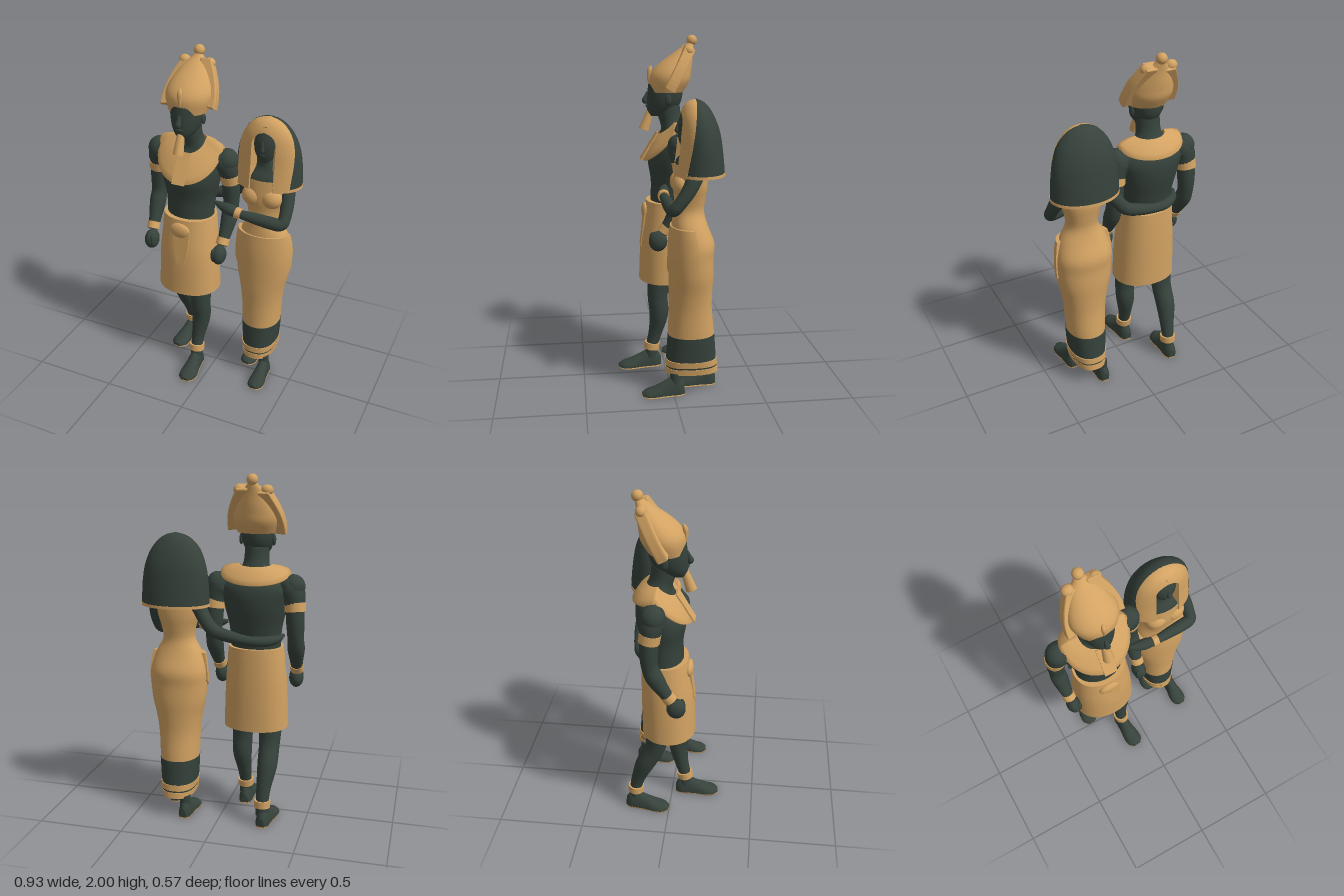
import * as THREE from 'three';
import { toCreasedNormals } from 'three/addons/utils/BufferGeometryUtils.js';

const V = (x, y, z) => new THREE.Vector3(x, y, z);
const gold = new THREE.MeshStandardMaterial({ color: 0xd2a262, side: THREE.DoubleSide });
gold.name = 'gold';
const dark = new THREE.MeshStandardMaterial({ color: 0x36423b, side: THREE.DoubleSide });
dark.name = 'darkStone';

// Smooth interpolation of rows [t, a, b, ...] at t
function sample(rows, t) {
  let i = 0;
  while (i < rows.length - 2 && t > rows[i + 1][0]) i++;
  const slope = (k, c) => {
    const a = rows[Math.max(k - 1, 0)], b = rows[Math.min(k + 1, rows.length - 1)];
    return (b[c] - a[c]) / (b[0] - a[0]);
  };
  const p = rows[i], q = rows[i + 1], h = q[0] - p[0], s = Math.min(1, Math.max(0, (t - p[0]) / h));
  return p.map((v, c) => c === 0 ? t :
    v * (2 * s ** 3 - 3 * s * s + 1) + q[c] * (3 * s * s - 2 * s ** 3) +
    h * slope(i, c) * (s ** 3 - 2 * s * s + s) + h * slope(i + 1, c) * (s ** 3 - s * s));
}

// Skin over closed rings of points, optionally capped, wound outward
function skin(rings, caps = true) {
  const pos = [], idx = [], n = rings[0].length;
  rings.forEach(r => r.forEach(p => pos.push(p.x, p.y, p.z)));
  for (let i = 0; i < rings.length - 1; i++) for (let j = 0; j < n; j++) {
    const a = i * n + j, b = i * n + (j + 1) % n;
    idx.push(a, b, a + n, b, b + n, a + n);
  }
  if (caps) [rings[0], rings[rings.length - 1]].forEach((r, e) => {
    const start = pos.length / 3, c = V(0, 0, 0);
    r.forEach(p => { pos.push(p.x, p.y, p.z); c.addScaledVector(p, 1 / n); });
    pos.push(c.x, c.y, c.z);
    for (let j = 0; j < n; j++) {
      const a = start + j, b = start + (j + 1) % n;
      if (e) idx.push(a, b, start + n); else idx.push(b, a, start + n);
    }
  });
  const at = k => V(pos[3 * k], pos[3 * k + 1], pos[3 * k + 2]);
  let vol = 0;
  for (let k = 0; k < idx.length; k += 3) vol += at(idx[k]).dot(at(idx[k + 1]).cross(at(idx[k + 2])));
  if (vol < 0) idx.reverse();
  const g = new THREE.BufferGeometry();
  g.setAttribute('position', new THREE.Float32BufferAttribute(pos, 3));
  g.setIndex(idx);
  g.computeVertexNormals();
  return g;
}

const range = (n, f) => Array.from({ length: n }, (_, i) => f(i));

// Horizontal rings; rows are [y, cz, rx, rz]
function loft(rows, cx, y0 = rows[0][0], y1 = rows[rows.length - 1][0], grow = 1, power = 2) {
  const steps = Math.max(3, Math.ceil((y1 - y0) / 0.02)), e = 2 / power;
  return skin(range(steps + 1, i => {
    const [y, cz, rx, rz] = sample(rows, y0 + (y1 - y0) * i / steps);
    return range(40, j => {
      const a = j / 40 * Math.PI * 2, s = Math.sin(a), c = Math.cos(a);
      return V(cx + grow * rx * Math.sign(s) * Math.abs(s) ** e, y, cz + grow * rz * Math.sign(c) * Math.abs(c) ** e);
    });
  }));
}

// Round limb along points [x, y, z, r]
function limb(pts) {
  const rows = pts.map((p, i) => [i, ...p]), n = (pts.length - 1) * 5;
  const at = t => { const s = sample(rows, t); return V(s[1], s[2], s[3]); };
  return skin(range(n + 1, i => {
    const t = i / 5, c = at(t), r = Math.max(0.004, sample(rows, t)[4]);
    const d = at(Math.min(t + 0.1, pts.length - 1)).sub(at(Math.max(t - 0.1, 0))).normalize();
    const u = V(0, 0, 1).addScaledVector(d, -d.z).normalize(), w = d.clone().cross(u);
    return range(18, j => {
      const a = j / 18 * Math.PI * 2;
      return c.clone().addScaledVector(u, r * Math.cos(a)).addScaledVector(w, r * Math.sin(a));
    });
  }));
}

export function createModel() {
  const model = new THREE.Group();
  const man = new THREE.Group(), woman = new THREE.Group();
  man.name = 'man'; woman.name = 'woman';
  model.add(man, woman);
  const put = (parent, name, geo, mat) => {
    const m = new THREE.Mesh(geo, mat); m.name = name; parent.add(m); return m;
  };
  const ball = (parent, name, mat, x, y, z, rx, ry = rx, rz = rx) => {
    const m = put(parent, name, new THREE.SphereGeometry(1, 24, 16), mat);
    m.position.set(x, y, z); m.scale.set(rx, ry, rz); return m;
  };
  const band = (parent, name, p, q, r) => {
    const d = q.clone().sub(p), m = put(parent, name, new THREE.CylinderGeometry(r, r, d.length(), 24), gold);
    m.position.copy(p).addScaledVector(d, 0.5);
    m.quaternion.setFromUnitVectors(V(0, 1, 0), d.normalize());
  };
  // Wedge foot on a thin gold sole; rows are [z, half width, height]
  const foot = (parent, x, heelZ, turn, size) => {
    const rows = [[0, 0.02, 0.05], [0.025, 0.036, 0.09], [0.07, 0.039, 0.1], [0.12, 0.043, 0.075],
      [0.18, 0.052, 0.045], [0.225, 0.046, 0.03], [0.25, 0.02, 0.018]];
    const build = (grow, flat) => skin(range(21, i => {
      const [z, w, h] = sample(rows, i / 20 * 0.25);
      return range(20, j => {
        const a = j / 20 * Math.PI * 2, s = Math.sin(a);
        return V(w * grow * Math.cos(a), flat ? (s > 0 ? 0.008 : 0) : 0.007 + h * Math.max(0, s), z);
      });
    }));
    const g = new THREE.Group(); g.name = 'foot';
    put(g, 'footBody', build(1, false), dark);
    put(g, 'sole', build(1.02, true), gold);
    g.position.set(x, 0, heelZ); g.rotation.y = turn; g.scale.set(size, 1, size);
    parent.add(g);
  };

  // ---- Man ----
  const mx = -0.18;
  put(man, 'torso', loft([[0.95, -0.03, 0.145, 0.11], [1.04, -0.035, 0.143, 0.11], [1.15, -0.045, 0.152, 0.118],
    [1.28, -0.05, 0.182, 0.138], [1.38, -0.07, 0.19, 0.115], [1.45, -0.07, 0.12, 0.08],
    [1.49, -0.055, 0.08, 0.07], [1.53, -0.04, 0.07, 0.068], [1.6, -0.03, 0.068, 0.068]], mx), dark);
  put(man, 'head', loft([[1.535, 0.045, 0.03, 0.035], [1.56, 0.02, 0.058, 0.072], [1.6, 0, 0.08, 0.096],
    [1.65, -0.01, 0.092, 0.104], [1.72, -0.015, 0.098, 0.1]], mx), dark);
  put(man, 'nose', limb([[mx, 1.675, 0.088, 0.008], [mx, 1.645, 0.1, 0.013], [mx, 1.625, 0.107, 0.017], [mx, 1.613, 0.095, 0.012]]), dark);
  ball(man, 'lips', dark, mx, 1.593, 0.09, 0.024, 0.01, 0.013);
  for (const s of [-1, 1]) ball(man, 'ear', dark, mx + s * 0.093, 1.635, -0.02, 0.011, 0.032, 0.02);
  put(man, 'beard', limb([[mx, 1.575, 0.07, 0.02], [mx, 1.52, 0.09, 0.025], [mx, 1.455, 0.113, 0.031]]), gold);

  // Tall crown leaning back, with broad side plumes
  put(man, 'crown', loft([[1.675, -0.02, 0.112, 0.098], [1.74, -0.037, 0.134, 0.12], [1.78, -0.045, 0.134, 0.118],
    [1.83, -0.07, 0.115, 0.1], [1.9, -0.12, 0.07, 0.055], [1.95, -0.16, 0.024, 0.022], [1.97, -0.165, 0.018, 0.018]], mx), gold);
  ball(man, 'crownKnob', gold, mx, 1.968, -0.168, 0.031);
  const plume = new THREE.Shape();
  plume.moveTo(0.05, 0.02);
  plume.lineTo(0.158, 0.008);
  plume.bezierCurveTo(0.16, 0.12, 0.12, 0.19, 0.085, 0.265);
  plume.lineTo(0.03, 0.265);
  for (const s of [-1, 1]) {
    const geo = new THREE.ExtrudeGeometry(plume, { depth: 0.035, bevelEnabled: true, bevelSize: 0.006, bevelThickness: 0.014, bevelSegments: 3, curveSegments: 12 });
    const m = put(man, 'plume', geo, gold);
    m.rotation.set(-0.5, s > 0 ? 0 : Math.PI, 0);
    m.position.set(mx, 1.685, -0.02 - s * 0.0175);
    ball(man, 'plumeTip', gold, mx + s * 0.075, 1.912, -0.14, 0.034, 0.03, 0.03);
  }
  put(man, 'browSerpent', limb([[mx, 1.73, 0.08, 0.008], [mx, 1.76, 0.082, 0.011], [mx, 1.8, 0.078, 0.014], [mx, 1.825, 0.068, 0.005]]), gold);

  // Broad collar draped over chest and shoulders; rows are [rx, front rz, back rz, y, front drop, back drop]
  const collar = [[0.09, 0.085, 0.07, 1.505, 0.075, 0.01], [0.14, 0.125, 0.11, 1.5, 0.12, 0.03],
    [0.182, 0.16, 0.135, 1.487, 0.175, 0.055], [0.2, 0.18, 0.15, 1.465, 0.19, 0.06], [0.19, 0.165, 0.138, 1.45, 0.18, 0.05]];
  put(man, 'collar', skin(collar.map(([rx, rf, rb, y, front, back]) => range(48, j => {
    const a = j / 48 * Math.PI * 2, c = Math.cos(a);
    return V(mx + rx * Math.sin(a), y - (c > 0 ? front : back) * Math.abs(c) ** 0.8, -0.055 + (c > 0 ? rf : rb) * c);
  })), false), gold);
  const pectoral = put(man, 'pectoral', new THREE.BoxGeometry(0.075, 0.19, 0.009), gold);
  pectoral.position.set(mx, 1.357, 0.084); pectoral.rotation.x = -0.55;

  // Kilt, belt, buckle and apron
  const kilt = [[0.545, -0.008, 0.188, 0.155], [0.8, -0.015, 0.178, 0.15], [0.95, -0.025, 0.164, 0.138], [1.03, -0.03, 0.155, 0.13]];
  put(man, 'kilt', loft(kilt, mx, 0.545, 1.03, 1, 2.2), gold);
  put(man, 'belt', loft(kilt, mx, 0.965, 1.032, 1.015, 2.2), gold);
  ball(man, 'buckle', gold, mx - 0.005, 0.965, 0.108, 0.064, 0.048, 0.024);
  const flap = new THREE.Shape([[-0.05, 0.22], [0.06, 0.22], [0.05, 0.1], [0.035, 0], [-0.02, 0.01]].map(p => new THREE.Vector2(...p)));
  const apron = put(man, 'apron', new THREE.ExtrudeGeometry(flap, { depth: 0.009, bevelEnabled: false }), gold);
  apron.position.set(mx, 0.75, 0.134); apron.rotation.x = -0.12;

  for (const s of [-1, 1]) {
    const X = o => mx + s * o;
    put(man, 'arm', limb([[0.14, 1.4, -0.07, 0.045], [0.19, 1.385, -0.07, 0.068], [0.218, 1.34, -0.075, 0.066],
      [0.228, 1.27, -0.085, 0.054], [0.234, 1.18, -0.09, 0.051], [0.236, 1.1, -0.085, 0.046], [0.236, 1.03, -0.06, 0.049],
      [0.232, 0.95, -0.015, 0.038], [0.228, 0.88, 0.03, 0.03]].map(([o, ...r]) => [X(o), ...r])), dark);
    ball(man, 'shoulder', dark, X(0.215), 1.385, -0.07, 0.066, 0.07, 0.066);
    ball(man, 'fist', dark, X(0.222), 0.83, 0.055, 0.042, 0.06, 0.054);
    ball(man, 'thumb', dark, X(0.2), 0.835, 0.085, 0.017, 0.045, 0.02);
    band(man, 'armBand', V(X(0.228), 1.3, -0.08), V(X(0.232), 1.25, -0.088), 0.059);
    band(man, 'wristBand', V(X(0.23), 0.92, 0.004), V(X(0.228), 0.885, 0.027), 0.038);
  }
  put(man, 'leftLeg', limb([[-0.09, 0.7, 0, 0.075], [-0.087, 0.56, 0.035, 0.067], [-0.085, 0.45, 0.045, 0.06],
    [-0.085, 0.34, 0.037, 0.057], [-0.095, 0.22, 0.058, 0.042], [-0.098, 0.13, 0.08, 0.036], [-0.098, 0.06, 0.085, 0.038]]), dark);
  put(man, 'rightLeg', limb([[-0.27, 0.7, -0.04, 0.075], [-0.275, 0.56, -0.06, 0.067], [-0.275, 0.45, -0.085, 0.06],
    [-0.275, 0.34, -0.14, 0.057], [-0.265, 0.22, -0.185, 0.042], [-0.262, 0.13, -0.205, 0.036], [-0.262, 0.06, -0.205, 0.038]]), dark);
  band(man, 'leftAnkleBand', V(-0.098, 0.11, 0.083), V(-0.098, 0.15, 0.077), 0.047);
  band(man, 'rightAnkleBand', V(-0.262, 0.11, -0.205), V(-0.262, 0.15, -0.203), 0.047);
  foot(man, -0.103, 0.025, 0.06, 1.04);
  foot(man, -0.265, -0.262, -0.08, 1.04);

  // ---- Woman ----
  const wx = 0.262;
  const body = [[0.12, -0.11, 0.094, 0.15], [0.2, -0.108, 0.104, 0.143], [0.35, -0.107, 0.114, 0.132], [0.5, -0.102, 0.122, 0.122],
    [0.6, -0.102, 0.136, 0.123], [0.7, -0.105, 0.157, 0.125], [0.8, -0.105, 0.166, 0.124], [0.88, -0.108, 0.165, 0.124],
    [0.98, -0.095, 0.135, 0.1], [1.06, -0.09, 0.094, 0.084], [1.13, -0.095, 0.1, 0.086], [1.2, -0.097, 0.12, 0.094],
    [1.28, -0.1, 0.13, 0.09], [1.34, -0.1, 0.125, 0.08], [1.38, -0.11, 0.09, 0.06], [1.42, -0.105, 0.05, 0.05], [1.5, -0.1, 0.045, 0.048]];
  for (const [name, y0, y1, mat, grow, power] of [['hem', 0.12, 0.155, gold, 1.02, 2.5], ['hemLine', 0.155, 0.165, dark, 1, 2.5],
    ['hemBand', 0.165, 0.2, gold, 1.02, 2.5], ['skirtBand', 0.2, 0.345, dark, 1, 2.3], ['dress', 0.345, 1.325, gold, 1, 2.1],
    ['neck', 1.325, 1.5, dark, 1, 2]])
    put(woman, name, loft(body, wx, y0, y1, grow, power), mat);

  // Wrap cloth over the front of the hips, its lower edge curved
  put(woman, 'hipWrap', toCreasedNormals(skin(range(10, i => range(60, j => {
    const outer = j < 30, a = ((outer ? j : 59 - j) / 29 - 0.5) * 3.3;
    const y = 0.98 - (0.265 - 0.06 * (a / 1.65 - 0.3) ** 2) * i / 9, [, cz, rx, rz] = sample(body, y);
    const r = outer ? 0.008 : -0.01, flare = outer ? Math.max(0, y - 0.88) * 0.14 : 0;
    return V(wx + (rx + r + flare) * Math.sin(a), y, cz + (rz + r) * Math.cos(a));
  }))), 0.9), gold);
  for (const s of [-1, 1]) ball(woman, 'bust', gold, wx + s * 0.055, 1.215, -0.048, 0.066, 0.062, 0.056);
  put(woman, 'head', loft([[1.425, -0.068, 0.025, 0.025], [1.445, -0.08, 0.046, 0.044], [1.49, -0.085, 0.066, 0.058],
    [1.55, -0.094, 0.074, 0.064], [1.63, -0.108, 0.065, 0.05]], wx), dark);
  put(woman, 'nose', limb([[wx, 1.555, -0.034, 0.006], [wx, 1.525, -0.027, 0.01], [wx, 1.505, -0.023, 0.012], [wx, 1.497, -0.03, 0.009]]), dark);
  ball(woman, 'lips', dark, wx, 1.475, -0.032, 0.017, 0.007, 0.008);

  // Wig: gold front pieces around the face, dark hair behind, gold rim below
  const wig = [[1.266, -0.145, 0.197, 0.14], [1.4, -0.147, 0.19, 0.124], [1.5, -0.142, 0.173, 0.112],
    [1.58, -0.132, 0.141, 0.092], [1.635, -0.126, 0.095, 0.064], [1.66, -0.124, 0.055, 0.037], [1.672, -0.124, 0.006, 0.006]];
  const gap = y => {
    const g = 0.07 * Math.sqrt(Math.max(0, 1 - (Math.max(0, y - 1.53) / 0.07) ** 2));
    return Math.asin(Math.min(1, g / Math.max(0.01, sample(wig, y)[2])));
  };
  const edge = y => 0.9 + 0.6 * Math.max(0, (y - 1.266) / 0.4) ** 1.5;
  const sector = (from, to, y0, y1, grow = 1) => {
    const n = Math.ceil((y1 - y0) / 0.01);
    return toCreasedNormals(skin(range(n + 1, i => {
      const y = y0 + (y1 - y0) * i / n, [, cz, rx, rz] = sample(wig, y), a0 = from(y), a1 = to(y);
      return range(64, j => {
        const outer = j < 32, a = a0 + (a1 - a0) * (outer ? j : 63 - j) / 31, k = outer ? grow : 0.68;
        return V(wx + k * rx * Math.sin(a), y, cz + k * rz * Math.cos(a));
      });
    })), 0.9);
  };
  const behind = y => Math.PI * 2 - edge(y);
  put(woman, 'wigFrontLeft', sector(gap, edge, 1.266, 1.672, 1.012), gold);
  put(woman, 'wigFrontRight', sector(y => -edge(y), y => -gap(y), 1.266, 1.672, 1.012), gold);
  put(woman, 'wigBack', sector(edge, behind, 1.282, 1.672), dark);
  put(woman, 'wigRim', sector(edge, behind, 1.266, 1.282, 1.01), gold);

  // Left arm bent across the waist, right arm around the man's back
  put(woman, 'leftArm', limb([[0.35, 1.32, -0.12, 0.042], [0.385, 1.28, -0.11, 0.045], [0.405, 1.2, -0.07, 0.04],
    [0.412, 1.13, -0.02, 0.035], [0.4, 1.095, 0.012, 0.036], [0.34, 1.098, 0.022, 0.036], [0.25, 1.11, 0.03, 0.032],
    [0.16, 1.122, 0.036, 0.025], [0.1, 1.13, 0.03, 0.033], [0.05, 1.138, 0.022, 0.027], [0.0, 1.15, 0.012, 0.01]]), dark);
  band(woman, 'bracelet', V(0.17, 1.12, 0.036), V(0.136, 1.125, 0.035), 0.033);
  put(woman, 'rightArm', limb([[0.17, 1.32, -0.125, 0.042], [0.13, 1.27, -0.15, 0.043], [0.085, 1.2, -0.175, 0.039],
    [0.03, 1.14, -0.188, 0.037], [-0.06, 1.11, -0.187, 0.034], [-0.16, 1.09, -0.18, 0.028], [-0.24, 1.085, -0.16, 0.03],
    [-0.31, 1.09, -0.115, 0.024], [-0.343, 1.105, -0.06, 0.01]]), dark);
  for (const [x, z, turn] of [[0.32, -0.062, 0.03], [0.203, -0.26, -0.03]]) {
    put(woman, 'ankle', limb([[x, 0.13, z + 0.05, 0.031], [x, 0.09, z + 0.05, 0.031], [x, 0.05, z + 0.05, 0.033]]), dark);
    foot(woman, x, z, turn, 0.96);
  }
  return model;
}
